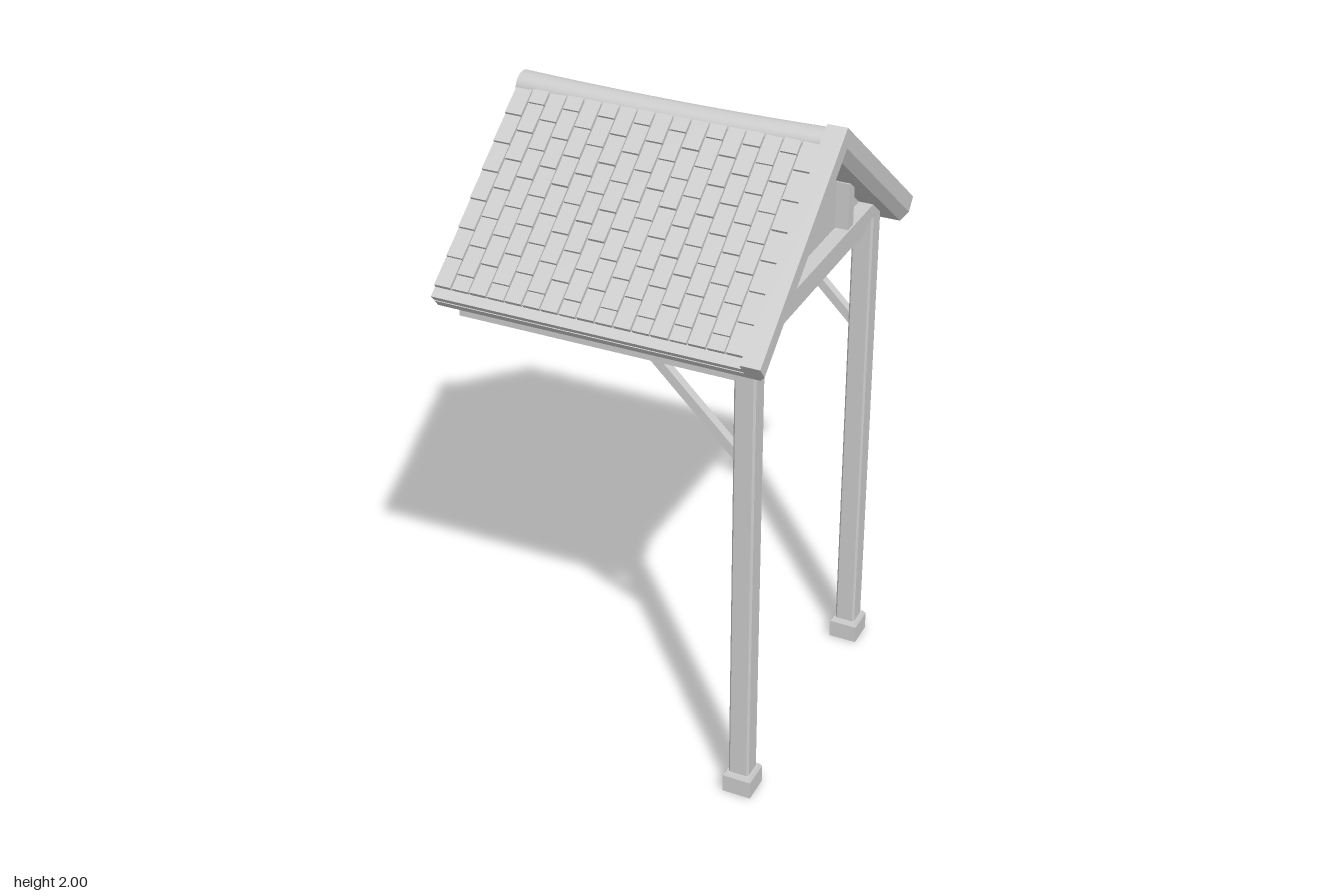
import * as THREE from 'three';
import { mergeGeometries } from 'three/addons/utils/BufferGeometryUtils.js';

const grey = new THREE.MeshStandardMaterial({ color: 0xcccccc });
const APEX = 2, PITCH = 0.673, SLOPE = 0.73;
const SIN = Math.sin(PITCH), COS = Math.cos(PITCH);

export function createModel() {
  const model = new THREE.Group();

  const add = (name, geometry, x = 0, y = 0, z = 0) => {
    const mesh = new THREE.Mesh(geometry, grey);
    mesh.name = name;
    mesh.position.set(x, y, z);
    model.add(mesh);
    return mesh;
  };

  // Box given by its limits on each axis
  const box = (name, x0, x1, y0, y1, z0, z1) =>
    add(name, new THREE.BoxGeometry(x1 - x0, y1 - y0, z1 - z0),
      (x0 + x1) / 2, (y0 + y1) / 2, (z0 + z1) / 2);

  // Convex profile of [x, depth below roof line], swept over both slopes
  const gableSweep = (profile, length) => {
    const rings = [1, 0, -1].map(side => profile.map(([x, d]) => side === 0
      ? [x, APEX - d / COS, 0]
      : [x, APEX - length * SIN - d * COS, side * (length * COS - d * SIN)]));
    const pos = [];
    const tri = (a, b, c) => pos.push(...a, ...b, ...c);
    const n = profile.length;
    for (let r = 0; r < 2; r++) {
      for (let i = 0; i < n; i++) {
        const j = (i + 1) % n, A = rings[r], B = rings[r + 1];
        tri(A[i], A[j], B[j]);
        tri(A[i], B[j], B[i]);
      }
    }
    for (let i = 1; i < n - 1; i++) {
      tri(rings[0][0], rings[0][i + 1], rings[0][i]);
      tri(rings[2][0], rings[2][i], rings[2][i + 1]);
    }
    const g = new THREE.BufferGeometry();
    g.setAttribute('position', new THREE.Float32BufferAttribute(pos, 3));
    g.computeVertexNormals();
    return g;
  };
  const layer = (x0, x1, d0, d1) => [[x0, d0], [x1, d0], [x1, d1], [x0, d1]];

  // Roof layers with a recessed joint between, and chamfered gable board
  add('roofDeck', gableSweep(layer(-0.5, 0.44, 0.024, 0.045), SLOPE));
  add('roofJoint', gableSweep(layer(-0.498, 0.44, 0.045, 0.052), SLOPE - 0.015));
  add('roofUnderside', gableSweep(layer(-0.5, 0.44, 0.052, 0.08), SLOPE));
  add('gableBoard', gableSweep(
    [[0.44, 0], [0.5, 0], [0.5, 0.048], [0.48, 0.08], [0.44, 0.08]], SLOPE));

  // Shingles: staggered columns, each slightly tilted and uneven
  let seed = 7;
  const random = () => (seed = (seed * 16807) % 2147483647) / 2147483647;
  const columns = 17, rows = 7, start = 0.055, end = 0.7;
  const width = 0.94 / columns, step = (end - start) / rows;
  for (const side of [1, -1]) {
    const tiles = [];
    for (let c = 0; c < columns; c++) {
      const shift = c % 2 ? step / 2 : 0;
      for (let r = 0; r <= rows; r++) {
        const s0 = Math.max(start, start + r * step - shift);
        const s1 = Math.min(end, start + (r + 1) * step - shift);
        if (s1 - s0 < 0.01) continue;
        const tile = new THREE.BoxGeometry(width - 0.004 - random() * 0.002, 0.014, s1 - s0 - 0.002);
        tile.rotateX(side * -(0.04 + random() * 0.03));
        tile.translate(-0.5 + (c + 0.5) * width, -0.021 + random() * 0.002, side * (s0 + s1) / 2);
        tiles.push(tile);
      }
    }
    const shingles = add(side > 0 ? 'frontShingles' : 'backShingles', mergeGeometries(tiles), 0, APEX, 0);
    shingles.rotation.x = side * PITCH;
  }

  // Rounded ridge cap with a slight sag in the middle
  const ridge = new THREE.CylinderGeometry(0.045, 0.045, 0.945, 24, 10);
  ridge.rotateZ(Math.PI / 2);
  ridge.scale(1, 0.9, 1);
  const rp = ridge.attributes.position;
  for (let i = 0; i < rp.count; i++) {
    const t = rp.getX(i) / 0.4725;
    rp.setY(i, rp.getY(i) - 0.008 * (1 - t * t));
  }
  add('ridgeCap', ridge, -0.0275, 1.943, -0.007);

  // Triangular gable wall with its framing
  const triangle = new THREE.Shape([[-0.45, 1.54], [0.45, 1.54], [0, 1.9]].map(p => new THREE.Vector2(...p)));
  const wall = new THREE.ExtrudeGeometry(triangle, { depth: 0.02, bevelEnabled: false });
  wall.rotateY(Math.PI / 2);
  add('gableWall', wall, 0.375, 0, 0);
  box('gableBeam', 0.375, 0.44, 1.54, 1.585, -0.445, 0.445);
  for (const z of [-0.225, 0.22]) box('gableStrut', 0.39, 0.435, 1.58, 1.73, z - 0.02, z + 0.02);

  box('ceiling', -0.4, 0.42, 1.49, 1.54, -0.445, 0.445);

  // Square outline with cut corners, for the posts
  const h = 0.0325, c = 0.006;
  const outline = new THREE.Shape([
    [-h + c, -h], [h - c, -h], [h, -h + c], [h, h - c],
    [h - c, h], [-h + c, h], [-h, h - c], [-h, -h + c],
  ].map(p => new THREE.Vector2(...p)));

  // Post, footing, side beam and diagonal brace on each side
  for (const z of [0.425, -0.43]) {
    const post = new THREE.ExtrudeGeometry(outline, { depth: 1.49, bevelEnabled: false });
    post.rotateX(-Math.PI / 2);
    add('post', post, 0.407, 0.05, z);

    box('footing', 0.362, 0.452, 0, 0.058, z - 0.045, z + 0.045);
    const collar = new THREE.CylinderGeometry(0.038 * Math.SQRT2, 0.045 * Math.SQRT2, 0.012, 4, 1).toNonIndexed();
    collar.rotateY(Math.PI / 4);
    collar.computeVertexNormals();
    add('footingCollar', collar, 0.407, 0.064, z);

    box('sideBeam', -0.47, 0.4, 1.425, 1.49, z - 0.034, z + 0.034);

    const brace = add('brace', new THREE.BoxGeometry(0.4, 0.028, 0.028), 0.25, 1.3, z);
    brace.rotation.z = -Math.PI / 4;
  }

  return model;
}
